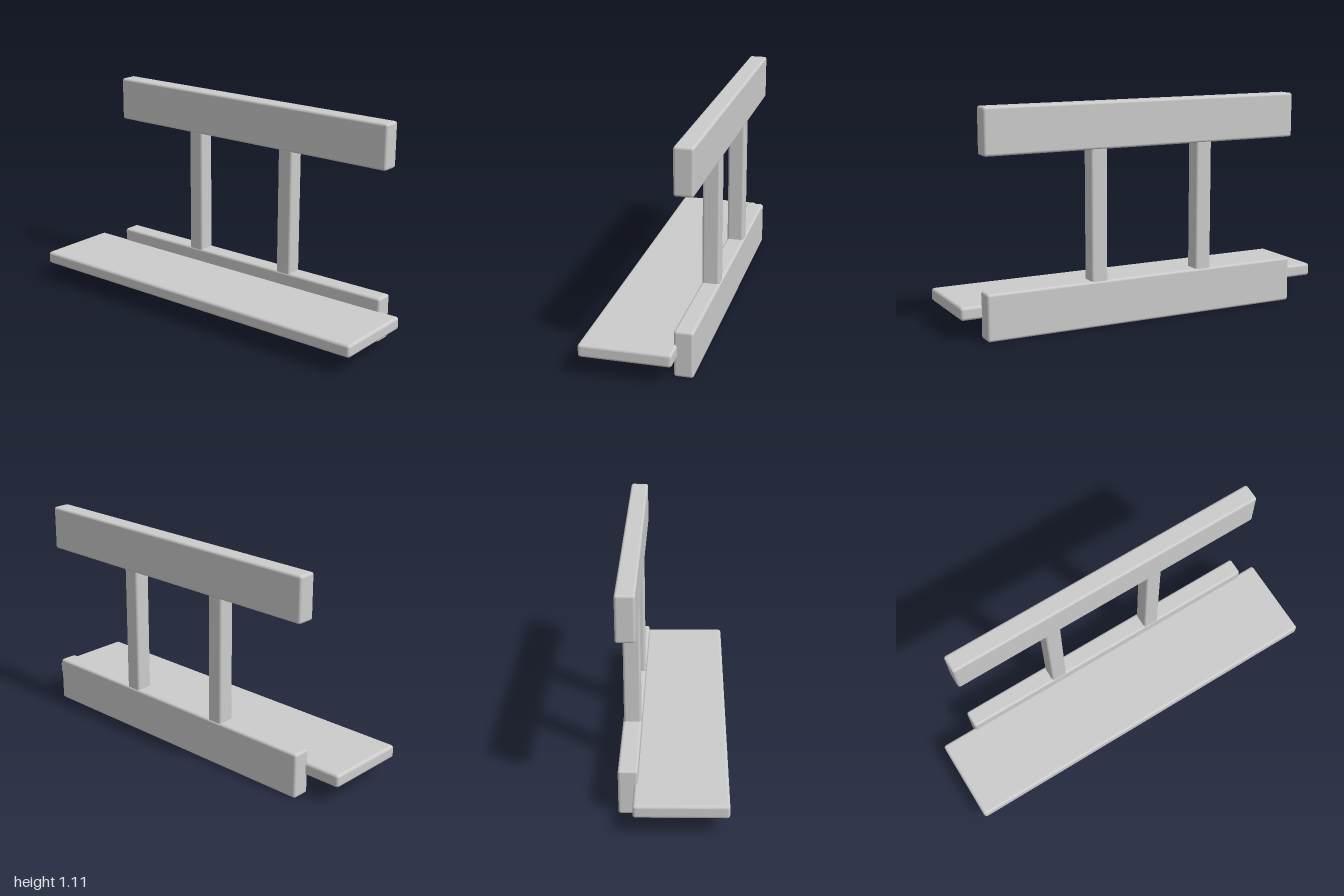
import * as THREE from 'three';
import { RoundedBoxGeometry } from 'three/addons/geometries/RoundedBoxGeometry.js';

export function createModel() {
  const group = new THREE.Group();
  const material = new THREE.MeshStandardMaterial({ color: 0xcccccc });

  // Softly edged timber given by its extents on each axis
  function timber(name, [x0, x1], [y0, y1], [z0, z1], radius) {
    const geometry = new RoundedBoxGeometry(x1 - x0, y1 - y0, z1 - z0, 3, radius);
    const mesh = new THREE.Mesh(geometry, material);
    mesh.position.set((x0 + x1) / 2, (y0 + y1) / 2, (z0 + z1) / 2);
    mesh.name = name;
    group.add(mesh);
  }

  // Horizontal rails, slightly off-centre
  const railX = [-0.807, 0.895];
  const railZ = [-0.26, -0.166];
  timber('lowerRail', railX, [0.003, 0.235], railZ, 0.013);
  timber('upperRail', railX, [0.882, 1.111], railZ, 0.013);

  // Upright posts, their ends let into the rails
  [['rightPost', -0.278], ['leftPost', 0.308]].forEach(([name, x]) => {
    timber(name, [x - 0.043, x + 0.043], [0.21, 0.91], [-0.255, -0.169], 0.012);
  });

  // Flat board projecting forward from the lower rail
  timber('seatBoard', [-1, 1], [0.101, 0.167], [-0.184, 0.26], 0.015);

  return group;
}
